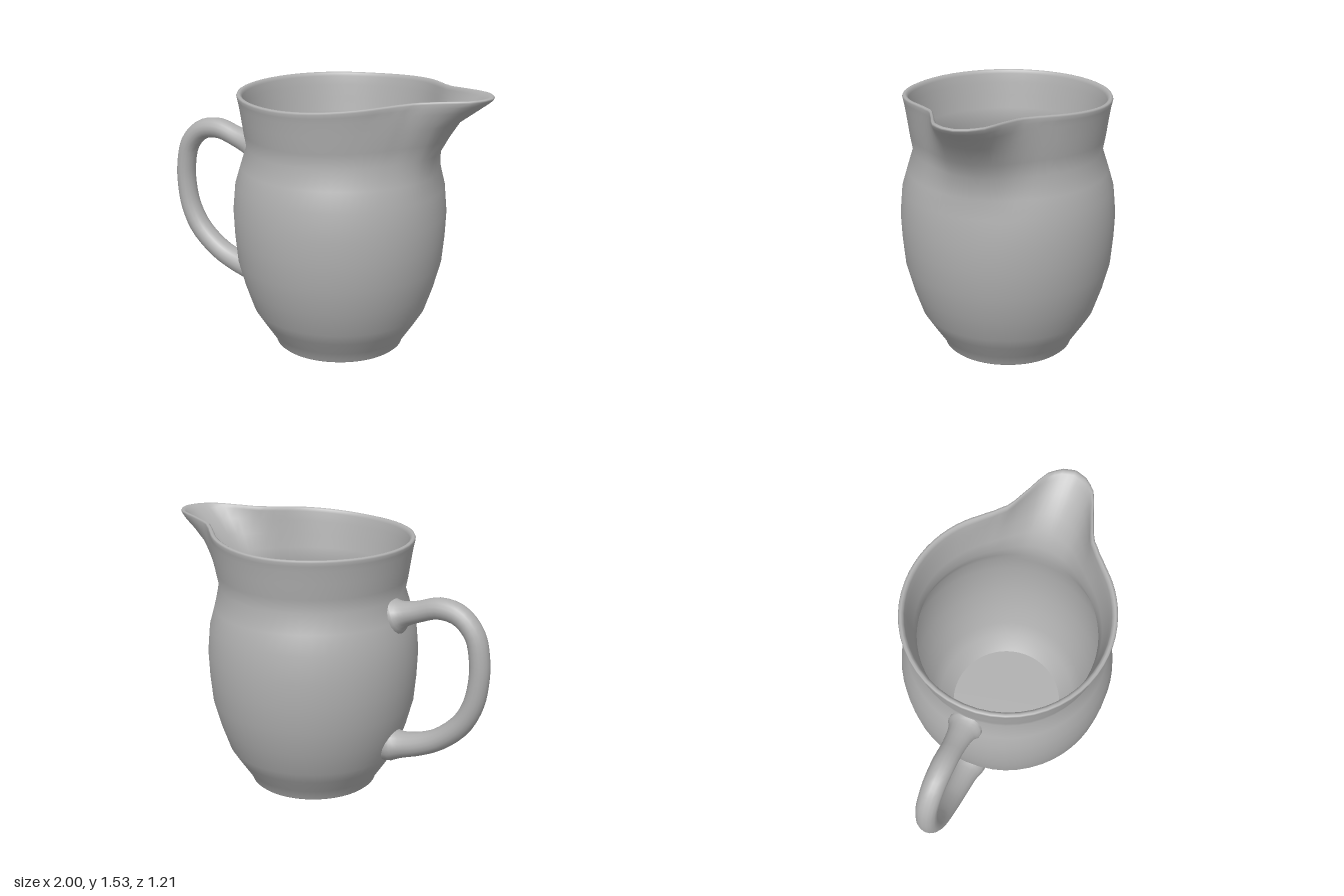
import * as THREE from 'three';

const { smoothstep, clamp, degToRad } = THREE.MathUtils;
const CX = 0.105; // axis of the body

// Piecewise linear lookup in [key, value] pairs
function lookup(table, k) {
  if (k <= table[0][0]) return table[0][1];
  for (let i = 1; i < table.length; i++) {
    const [k0, v0] = table[i - 1], [k1, v1] = table[i];
    if (k <= k1) return v0 + (v1 - v0) * (k - k0) / (k1 - k0);
  }
  return table[table.length - 1][1];
}

// Skin a list of closed rings with equal point counts
function loft(rings) {
  const n = rings[0].length, pos = [], index = [];
  rings.forEach(ring => ring.forEach(p => pos.push(p.x, p.y, p.z)));
  for (let j = 0; j < rings.length - 1; j++) {
    for (let i = 0; i < n; i++) {
      const a = j * n + i, b = j * n + (i + 1) % n;
      index.push(a, a + n, b, b, a + n, b + n);
    }
  }
  const g = new THREE.BufferGeometry();
  g.setAttribute('position', new THREE.Float32BufferAttribute(pos, 3));
  g.setIndex(index);
  g.computeVertexNormals();
  return g;
}

// Rows of [radius, height, spout weight]
const OUTER = [
  [0.358, 0, 0], [0.367, 0.008, 0], [0.37, 0.025, 0], [0.4, 0.07, 0], [0.453, 0.15, 0],
  [0.497, 0.22, 0], [0.545, 0.36, 0], [0.585, 0.51, 0], [0.599, 0.66, 0], [0.605, 0.8, 0],
  [0.591, 0.955, 0], [0.56, 1.06, 0.04], [0.525, 1.17, 0.18], [0.54, 1.25, 0.3],
  [0.553, 1.34, 0.48], [0.564, 1.41, 0.8], [0.57, 1.44, 0.93], [0.575, 1.46, 1],
];
const RIM_AND_INNER = [
  [0.571, 1.469, 1], [0.56, 1.472, 0.99], [0.549, 1.466, 0.97], [0.543, 1.45, 0.9],
  [0.534, 1.4, 0.7], [0.523, 1.33, 0.45], [0.51, 1.25, 0.28], [0.496, 1.17, 0.17],
  [0.528, 1.06, 0.04], [0.56, 0.955, 0], [0.573, 0.8, 0], [0.566, 0.66, 0], [0.552, 0.51, 0],
  [0.512, 0.36, 0], [0.464, 0.22, 0], [0.415, 0.13, 0], [0.335, 0.05, 0],
];

// How far the spout stands out from the round rim, by angle in degrees
const SPOUT = [[0, 0.32], [4.5, 0.303], [9, 0.26], [15, 0.147], [20, 0.075], [24, 0.038], [32, 0.01], [40, 0]];

// Angles are packed more closely around the spout
const SIDES = 72;
const ANGLES = Array.from({ length: SIDES }, (_, i) => {
  const s = (i - SIDES / 2) / (SIDES / 2);
  return Math.PI * s * (0.4 + 0.6 * Math.abs(s));
});

function bodyRing([r, y, w]) {
  return ANGLES.map(a => {
    const widen = 1 + 0.5 * (1 - w);
    const deg = Math.abs(a) * 180 / Math.PI;
    const radius = r + w * lookup(SPOUT, deg / widen);
    const x = CX + radius * Math.cos(a);
    const lift = 0.06 * smoothstep(x, -0.05, 1) * clamp((y - 1.1) / 0.36, 0, 1);
    return new THREE.Vector3(x, y + lift, radius * Math.sin(a));
  });
}

// Flat round plate facing up or down
function plate(r, y, up) {
  const g = new THREE.CircleGeometry(r, 48);
  g.rotateX(up ? -Math.PI / 2 : Math.PI / 2);
  g.translate(CX, y, 0);
  return g;
}

// Handle: centre line in x and y, with the thickness kept as the third coordinate
function handleGeometry() {
  const line = new THREE.CatmullRomCurve3([
    [-0.435, 1.085, 0.11], [-0.475, 1.1, 0.076], [-0.57, 1.13, 0.06], [-0.7, 1.17, 0.06],
    [-0.82, 1.148, 0.059], [-0.91, 1.055, 0.057], [-0.943, 0.92, 0.056], [-0.944, 0.8, 0.056],
    [-0.918, 0.66, 0.058], [-0.85, 0.53, 0.061], [-0.72, 0.414, 0.063], [-0.6, 0.357, 0.067],
    [-0.48, 0.325, 0.078], [-0.41, 0.315, 0.105],
  ].map(p => new THREE.Vector3(...p)));
  const wall = OUTER.map(([r, y]) => [y, r]);
  const steps = 44, sides = 16, rings = [];
  for (let j = 0; j <= steps; j++) {
    const c = line.getPoint(j / steps);
    const t = line.getTangent(j / steps);
    const len = Math.hypot(t.x, t.y);
    const nx = t.y / len, ny = -t.x / len;
    const ring = [];
    for (let i = 0; i < sides; i++) {
      const a = degToRad(i * 360 / sides);
      const k = c.z * Math.cos(a);
      const p = new THREE.Vector3(c.x + nx * k, c.y + ny * k, 1.08 * Math.min(c.z, 0.09) * Math.sin(a));
      // The flared ends are seated just inside the body wall
      const seat = CX - Math.sqrt(lookup(wall, p.y) ** 2 - p.z ** 2) + 0.01;
      p.x = j === 0 || j === steps ? seat : Math.min(p.x, seat);
      ring.push(p);
    }
    rings.push(ring);
  }
  return loft(rings);
}

export function createModel() {
  const group = new THREE.Group();
  group.name = 'pitcher';
  const glaze = new THREE.MeshStandardMaterial({ color: 0xb0b0b0 });
  glaze.name = 'grey glaze';
  const add = (name, geometry) => {
    const mesh = new THREE.Mesh(geometry, glaze);
    mesh.name = name;
    group.add(mesh);
  };

  add('bodyWithSpout', loft([...OUTER, ...RIM_AND_INNER].map(bodyRing)));
  add('base', plate(0.359, 0, false));
  add('innerFloor', plate(0.336, 0.05, true));
  add('handle', handleGeometry());
  return group;
}
